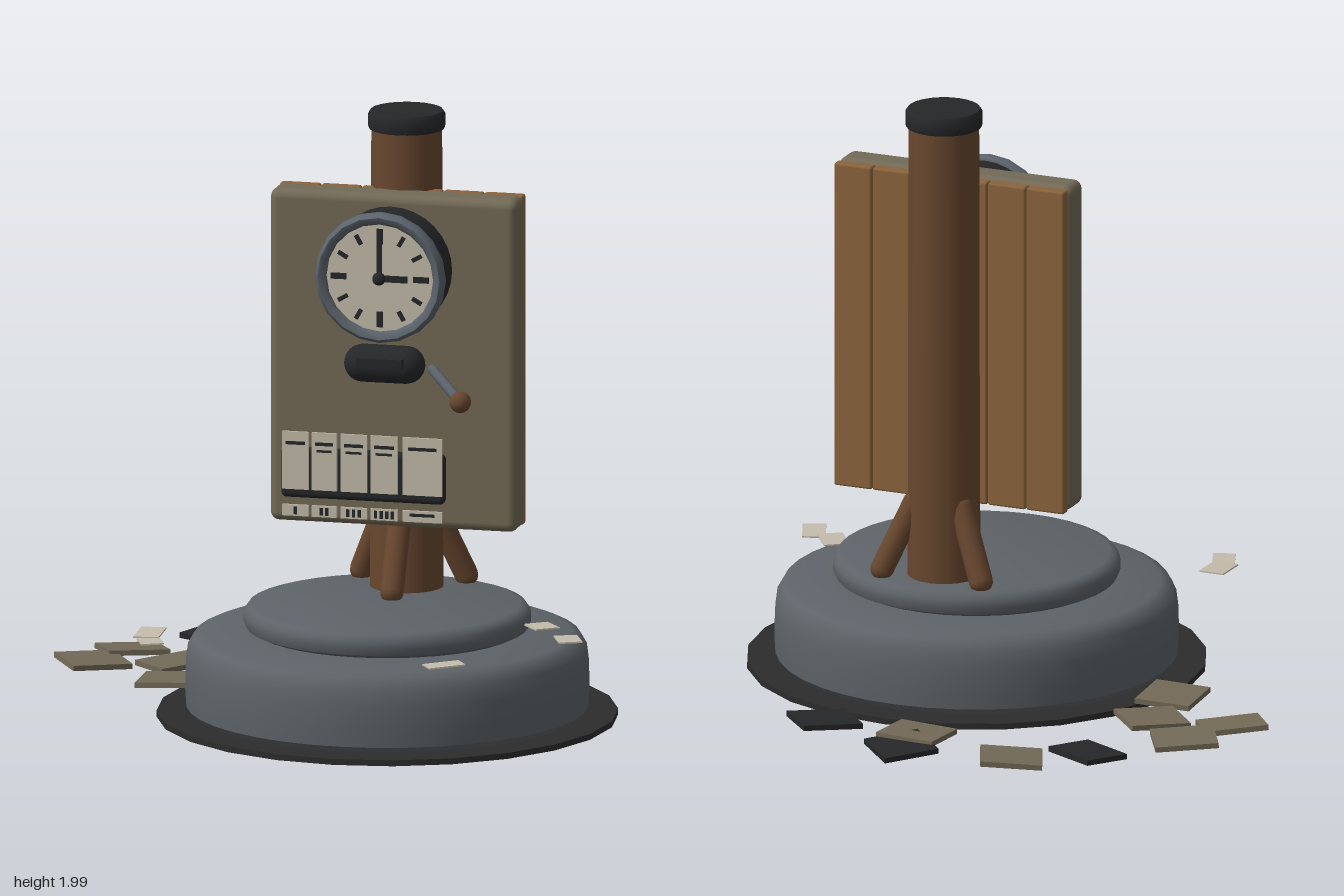
import * as THREE from 'three';
import { RoundedBoxGeometry } from 'three/addons/geometries/RoundedBoxGeometry.js';
import { toCreasedNormals } from 'three/addons/utils/BufferGeometryUtils.js';

const paint = (name, color) => Object.assign(new THREE.MeshStandardMaterial({ color }), { name });

export function createModel() {
  const stone = paint('grey stone', 0x5d6368);
  const soot = paint('dark ground', 0x2c2c2d);
  const black = paint('black iron', 0x262729);
  const board = paint('olive board', 0x736a57);
  const bark = paint('dark timber', 0x68472f);
  const plankWood = paint('light timber', 0x8a643c);
  const paper = paint('paper', 0xc4bcab);
  const steel = paint('steel', 0x5b636c);

  const root = new THREE.Group();
  const add = (name, geo, mat, x = 0, y = 0, z = 0, parent = root) => {
    const m = new THREE.Mesh(geo, mat);
    m.name = name;
    m.position.set(x, y, z);
    parent.add(m);
    return m;
  };
  const box = (w, h, d) => new THREE.BoxGeometry(w, h, d);
  const lathe = (pts, sides) =>
    toCreasedNormals(new THREE.LatheGeometry(pts.map(p => new THREE.Vector2(...p)), sides), 0.7);
  // Round bar between two points
  const bar = (name, a, b, r, mat) => {
    const dir = b.clone().sub(a);
    const mid = a.clone().add(b).multiplyScalar(0.5);
    const m = add(name, new THREE.CapsuleGeometry(r, dir.length(), 4, 12), mat, mid.x, mid.y, mid.z);
    m.quaternion.setFromUnitVectors(new THREE.Vector3(0, 1, 0), dir.normalize());
    return m;
  };
  const V = (x, y, z) => new THREE.Vector3(x, y, z);
  const CX = 0.235, CZ = 0.215, PZ = -0.055;

  // Round footing
  add('groundDisc', toCreasedNormals(new THREE.CylinderGeometry(0.762, 0.762, 0.02, 24), 0.5), soot, CX, 0.01, CZ);
  add('lowerPlinth', lathe([[0, 0.02], [0.645, 0.02], [0.665, 0.04], [0.669, 0.1], [0.667, 0.18], [0.66, 0.235],
    [0.64, 0.27], [0.61, 0.283], [0.4, 0.287], [0, 0.287]], 40), stone, CX, 0, CZ);
  add('upperPlinth', lathe([[0, 0.285], [0.44, 0.293], [0.466, 0.305], [0.476, 0.33], [0.474, 0.355],
    [0.46, 0.375], [0.44, 0.381], [0, 0.381]], 40), stone, CX, 0, CZ);

  // Post, cap and three braces
  add('post', new THREE.CylinderGeometry(0.117, 0.121, 1.57, 24), bark, CX, 1.16, PZ);
  add('postCap', lathe([[0, 1.93], [0.125, 1.93], [0.128, 1.94], [0.128, 1.978], [0.12, 1.99], [0, 1.99]], 24),
    black, CX, 0, PZ);
  for (let i = 0; i < 3; i++) {
    const a = i * Math.PI * 2 / 3, s = Math.sin(a), c = Math.cos(a);
    bar('brace', V(CX + 0.205 * s, 0.405, PZ + 0.205 * c), V(CX + 0.095 * s, 0.635, PZ + 0.095 * c), 0.04, bark);
  }

  // Notice board with planks behind
  add('board', new RoundedBoxGeometry(0.84, 1.123, 0.118, 3, 0.03), board, CX, 1.1815, 0.082);
  for (let i = 0; i < 6; i++)
    add('plank', new RoundedBoxGeometry(0.136, 1.115, 0.042, 1, 0.008), plankWood, CX + (i - 2.5) * 0.1385, 1.18, 0.003);

  // Clock
  const clock = new THREE.Group();
  clock.name = 'clock';
  clock.position.set(CX, 1.503, 0);
  root.add(clock);
  const turn = m => { m.rotation.x = Math.PI / 2; return m; };
  turn(add('clockCase', new THREE.CylinderGeometry(0.206, 0.206, 0.147, 32), black, 0, 0, 0.2315, clock));
  turn(add('clockRim', lathe([[0.2, 0.285], [0.213, 0.29], [0.221, 0.305], [0.219, 0.325], [0.207, 0.34],
    [0.192, 0.336], [0.182, 0.325], [0.18, 0.3]], 20), steel, 0, 0, 0, clock));
  add('clockFace', new THREE.CylinderGeometry(0.184, 0.184, 0.014, 32).rotateX(Math.PI / 2), paper, 0, 0, 0.311, clock);
  for (let i = 0; i < 12; i++) {
    const a = i * Math.PI / 6, big = i % 3 === 0;
    const r = big ? 0.14 : 0.145;
    const t = add('hourMark', box(big ? 0.02 : 0.014, big ? 0.052 : 0.036, 0.006), black,
      r * Math.sin(a), r * Math.cos(a), 0.321, clock);
    t.rotation.z = -a;
  }
  add('minuteHand', box(0.018, 0.15, 0.006), black, 0, 0.07, 0.327, clock);
  add('hourHand', box(0.1, 0.022, 0.006), black, 0.045, 0, 0.33, clock);
  add('handHub', new THREE.SphereGeometry(0.022, 14, 10), black, 0, 0, 0.335, clock);

  // Punch drum with slot, and crank
  add('punchDrum', new THREE.CapsuleGeometry(0.063, 0.146, 8, 20).rotateZ(Math.PI / 2), black, CX, 1.198, 0.252);
  add('punchSlot', box(0.155, 0.03, 0.04), black, CX, 1.216, 0.314);
  bar('crankRod', V(0.405, 1.193, 0.28), V(0.51, 1.12, 0.37), 0.017, steel);
  add('crankKnob', new THREE.SphereGeometry(0.036, 18, 14), bark, 0.523, 1.112, 0.383);

  // Card rack: tray, cards and number labels
  add('cardTray', new RoundedBoxGeometry(0.555, 0.168, 0.05, 3, 0.018), black, 0.168, 0.821, 0.27);
  const cards = [[-0.056, 0.09], [0.042, 0.085], [0.142, 0.09], [0.245, 0.093], [0.375, 0.134]];
  cards.forEach(([x, w], i) => {
    add('card', box(w, 0.195, 0.008), paper, x, 0.8665, 0.3);
    add('cardLine', box(w * 0.72, 0.011, 0.003), black, x, 0.926, 0.305);
    if (i % 4) add('cardLine', box(w * 0.6, 0.008, 0.003), black, x, 0.902, 0.305);
    add('label', box(w, 0.038, 0.008), paper, x, 0.698, 0.3);
    if (i === 4) add('labelMark', box(0.085, 0.01, 0.003), black, x, 0.703, 0.305);
    else for (let k = 0; k <= i; k++)
      add('labelMark', box(0.011, 0.026, 0.003), black, x + (k - i / 2) * 0.019, 0.698, 0.305);
  });

  // Loose paving tiles: x, z, width, depth, turn, dark
  [[-0.34, -0.82, 0.205, 0.19, 0.41, 0], [-0.55, -0.67, 0.21, 0.165, -0.5, 1], [0.043, -0.85, 0.19, 0.19, 0.785, 1],
    [0.04, -0.73, 0.205, 0.19, -0.05, 0], [0.39, -0.685, 0.205, 0.185, 0.73, 1], [-0.78, -0.4, 0.21, 0.175, 0.52, 0],
    [-0.865, -0.2, 0.21, 0.175, 0.62, 0], [-0.595, -0.24, 0.205, 0.185, 0.75, 0], [-0.555, 0.02, 0.19, 0.205, 0.05, 0],
  ].forEach(([x, z, w, d, r, dark], i) => {
    const t = add('looseTile', box(w, 0.018, d), dark ? black : board, x, i === 3 ? 0.047 : 0.036, z);
    t.rotation.set(0.07 * Math.sin(i * 2.3), r, 0.07 * Math.cos(i * 1.7), 'YXZ');
  });

  // Drifting paper slips: x, y, z, length, width, turn
  [[0.77, 0.34, 0.26, 0.11, 0.085, -0.95], [0.885, 0.325, 0.365, 0.125, 0.078, -1.18],
    [-0.49, 0.315, 0.55, 0.13, 0.085, 1.6], [-0.465, 0.31, 0.65, 0.125, 0.075, -1.2],
    [0.59, 0.337, 0.885, 0.125, 0.08, 0.54],
  ].forEach(([x, y, z, l, w, r], i) => {
    const s = add('paperSlip', box(l, 0.005, w), paper, x, y, z);
    s.rotation.set(0.06 * Math.sin(i * 3), r, 0.04, 'YXZ');
  });

  return root;
}
